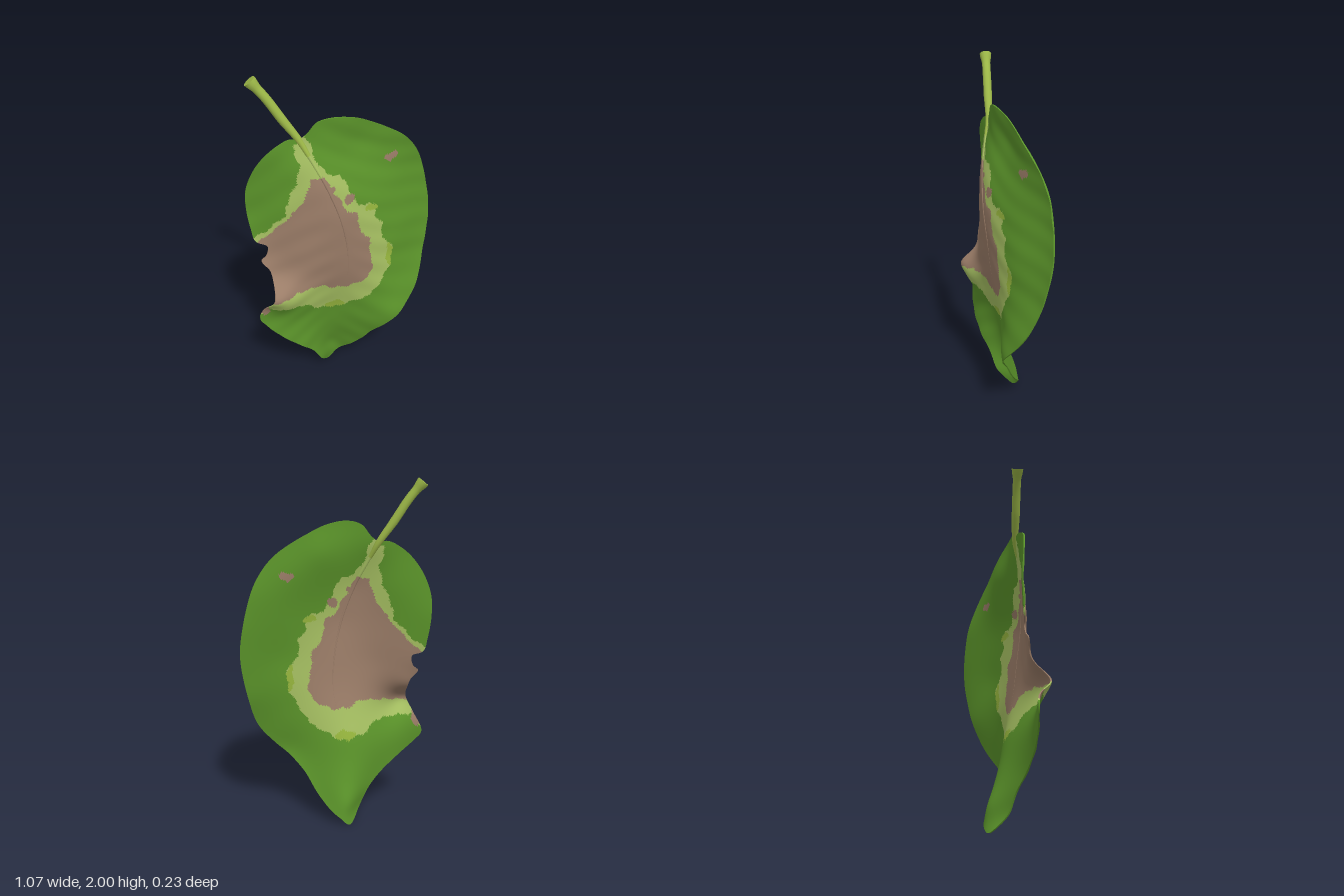
import * as THREE from 'three';

const mat = (name, color) => Object.assign(new THREE.MeshStandardMaterial({ color, side: THREE.DoubleSide }), { name });
const GREEN = 0, PALE = 1, BROWN = 2, LIME = 3;

// Midrib as [x, y, z], tip to leaf base
const RIB = [[-.08, 0, -.1], [-.09, .12, -.085], [-.09, .3, -.05], [-.06, .5, -.012], [-.02, .66, .03], [0, .8, .06],
  [-.01, 1, .08], [-.05, 1.2, .09], [-.12, 1.4, .07], [-.18, 1.53, .033], [-.24, 1.65, -.005]];

// Heights that bend the blade: right side, then left side
const BEND_A = [[.06, .13, -.058], [.17, .29, .035], [.27, .41, .095], [.36, .5, .075], [.44, .63, .025], [.49, .8, -.035],
  [.53, 1.02, -.075], [.52, 1.2, -.09], [.46, 1.4, -.08], [.38, 1.53, -.048], [.25, 1.65, -.015], [.05, 1.75, .01],
  [-.07, 1.77, .02], [-.18, 1.73, .005], [.25, .7, .06], [.3, 1, .03], [.25, 1.3, .008], [.08, 1.6, -.006], [.22, 1.5, -.015],
  [.1, .45, .03]];
const BEND_B = [[-.14, .08, -.03], [-.26, .26, .025], [-.4, .38, .04], [-.52, .53, .01], [-.48, .64, .05], [-.44, .72, .105],
  [-.43, .8, .03], [-.45, .88, -.01], [-.45, .95, -.025], [-.5, 1.04, -.05], [-.535, 1.25, -.07], [-.48, 1.5, -.04],
  [-.38, 1.61, -.015], [-.25, .5, .02], [-.25, .72, .06], [-.25, .95, .05], [-.3, 1.2, .025], [-.33, 1.4, 0]];

// Outline, counter-clockwise from the tip
const EDGE = [[-.08, 0], [-.02, .05], [.04, .1], [.105, .18], [.17, .29], [.24, .37], [.34, .47], [.44, .61], [.49, .78],
  [.53, 1.03], [.52, 1.17], [.46, 1.41], [.4, 1.52], [.33, 1.595], [.25, 1.65], [.16, 1.7], [.05, 1.75], [-.07, 1.77],
  [-.15, 1.75], [-.2, 1.69], [-.24, 1.66], [-.3, 1.66], [-.4, 1.6], [-.48, 1.5], [-.53, 1.37], [-.535, 1.25], [-.52, 1.12],
  [-.5, 1.04], [-.44, 1.01], [-.45, .95], [-.48, .92], [-.44, .86], [-.43, .8], [-.44, .72], [-.47, .65], [-.52, .53],
  [-.48, .47], [-.4, .385], [-.26, .25], [-.2, .18], [-.14, .07]];

// Withered patch and its pale halo
const DEAD = [[-.2, 1.45], [-.13, 1.45], [-.08, 1.36], [-.01, 1.24], [.05, 1.2], [.06, 1.1], [.12, 1.03], [.13, .9], [.15, .82],
  [.12, .73], [0, .68], [-.1, .69], [-.15, .73], [-.3, .72], [-.41, .7], [-.6, .72], [-.6, 1.02], [-.49, 1.03], [-.42, 1.1],
  [-.35, 1.17], [-.27, 1.27], [-.22, 1.36]];
const HALO = [[-.22, 1.68], [-.28, 1.63], [-.25, 1.52], [-.28, 1.4], [-.32, 1.31], [-.34, 1.22], [-.42, 1.13], [-.5, 1.07],
  [-.6, 1.03], [-.6, .56], [-.49, .57], [-.46, .63], [-.41, .62], [-.25, .6], [-.17, .53], [-.04, .5], [.04, .54],
  [.13, .59], [.2, .69], [.26, .81], [.27, .94], [.2, 1], [.2, 1.1], [.16, 1.16], [.155, 1.24],
  [.06, 1.26], [.015, 1.31], [0, 1.39], [-.05, 1.45], [-.11, 1.475], [-.16, 1.52], [-.19, 1.64]];
// Small spots: x, y, radius x, radius y, colour
const SPOTS = [[.27, 1.48, .042, .024, BROWN], [0, 1.31, .03, .03, BROWN], [-.09, 1.385, .018, .018, BROWN],
  [-.49, .61, .025, .05, BROWN], [.25, .88, .018, .08, LIME], [-.06, .53, .06, .028, LIME], [.13, 1.22, .04, .02, LIME]];

function inside(poly, x, y) {
  let hit = false;
  poly.forEach(([ax, ay], i) => {
    const [bx, by] = poly[(i + 1) % poly.length];
    if ((ay > y) !== (by > y) && x < ax + (bx - ax) * (y - ay) / (by - ay)) hit = !hit;
  });
  return hit;
}

// Colour at a point, with slightly ragged borders
function colourAt(px, py) {
  const x = px + .005 * Math.sin(py * 61) + .002 * Math.sin(py * 163 + 1);
  const y = py + .005 * Math.sin(px * 73 + 2) + .002 * Math.sin(px * 151);
  for (const [cx, cy, rx, ry, c] of SPOTS) if (((x - cx) / rx) ** 2 + ((y - cy) / ry) ** 2 < 1) return c;
  return inside(DEAD, x, y) ? BROWN : inside(HALO, x, y) ? PALE : GREEN;
}

// Smooth surface through all bend points (multiquadric fit)
function fitSurface(points) {
  const phi = (ax, ay, bx, by) => Math.sqrt((ax - bx) ** 2 + (ay - by) ** 2 + .008);
  const n = points.length;
  const m = points.map(p => [...points.map(q => phi(p[0], p[1], q[0], q[1])), p[2]]);
  for (let c = 0; c < n; c++) {
    let best = c;
    for (let r = c; r < n; r++) if (Math.abs(m[r][c]) > Math.abs(m[best][c])) best = r;
    [m[c], m[best]] = [m[best], m[c]];
    for (let r = 0; r < n; r++) {
      if (r === c) continue;
      const f = m[r][c] / m[c][c];
      for (let k = c; k <= n; k++) m[r][k] -= f * m[c][k];
    }
  }
  const w = m.map((row, i) => row[n] / row[i]);
  return (x, y) => points.reduce((s, p, i) => s + w[i] * phi(x, y, p[0], p[1]), 0);
}

function ribX(y) {
  let i = 0;
  while (i < RIB.length - 2 && RIB[i + 1][1] < y) i++;
  const t = THREE.MathUtils.clamp((y - RIB[i][1]) / (RIB[i + 1][1] - RIB[i][1]), 0, 1);
  return THREE.MathUtils.lerp(RIB[i][0], RIB[i + 1][0], t);
}

function geometry(pos, index) {
  const g = new THREE.BufferGeometry();
  g.setAttribute('position', new THREE.Float32BufferAttribute(pos, 3));
  g.setIndex(index);
  g.computeVertexNormals();
  return g;
}

// Mesh whose triangles are grouped by colour
function paintedMesh(name, { pos, tris }, mats) {
  const buckets = mats.map(() => []);
  for (const t of tris) {
    const mid = k => (pos[t[0] * 3 + k] + pos[t[1] * 3 + k] + pos[t[2] * 3 + k]) / 3;
    buckets[colourAt(mid(0), mid(1))].push(...t);
  }
  const g = geometry(pos, buckets.flat());
  let start = 0;
  buckets.forEach((b, i) => { g.addGroup(start, b.length, i); start += b.length; });
  const mesh = new THREE.Mesh(g, mats);
  mesh.name = name;
  return mesh;
}

// One face of the blade: rings growing from the centre to the outline
function sheet(outline, height, flip) {
  const n = outline.length, rings = 60, cx = -.05, cy = .95;
  const pos = [cx, cy, height(cx, cy)], tris = [];
  for (let r = 1; r <= rings; r++) {
    outline.forEach((p, j) => {
      const x = cx + (p.x - cx) * r / rings, y = cy + (p.y - cy) * r / rings;
      pos.push(x, y, height(x, y));
      const a = 1 + (r - 1) * n + j, b = 1 + (r - 1) * n + (j + 1) % n;
      if (r === 1) tris.push([0, a, b]);
      else tris.push([a - n, a, b], [a - n, b, b - n]);
    });
  }
  if (flip) tris.forEach(t => t.reverse());
  return { pos, tris };
}

// Narrow wall joining the two faces along the outline
function wall(outline, front, back) {
  const pos = [], tris = [], n = outline.length;
  outline.forEach(({ x, y }, j) => {
    pos.push(x, y, front(x, y), x, y, back(x, y));
    const a = j * 2, b = (j + 1) % n * 2;
    tris.push([a, a + 1, b + 1], [a, b + 1, b]);
  });
  return { pos, tris };
}

// Tapered round sweep along a curve
function sweep(points, radius, steps, sides) {
  const curve = new THREE.CatmullRomCurve3(points.map(p => new THREE.Vector3(...p)));
  const pos = [], tris = [];
  for (let i = 0; i <= steps; i++) {
    const p = curve.getPoint(i / steps), tan = curve.getTangent(i / steps);
    const u = new THREE.Vector3(0, 0, 1).cross(tan).normalize(), v = tan.clone().cross(u);
    for (let j = 0; j < sides; j++) {
      const a = j / sides * Math.PI * 2, r = radius(i / steps);
      const q = p.clone().addScaledVector(u, Math.cos(a) * r).addScaledVector(v, Math.sin(a) * r);
      pos.push(q.x, q.y, q.z);
      if (i < steps) {
        const k = i * sides + j, l = i * sides + (j + 1) % sides;
        tris.push([k, l, l + sides], [k, l + sides, k + sides]);
      }
    }
  }
  return { pos, tris };
}

export function createModel() {
  const model = new THREE.Group();
  model.name = 'leaf';
  const mats = [mat('leafGreen', 0x5b942a), mat('paleHalo', 0xa6c062), mat('witheredBrown', 0x9b7d68), mat('limePatch', 0x97b63e)];
  const stemMat = mat('stemGreen', 0x9db848);

  // Blade: veined front, smooth back, thin rim
  const bend = fitSurface([...RIB, ...BEND_A, ...BEND_B]);
  const front = (x, y) => {
    const d = Math.abs(x - ribX(y));
    return bend(x, y) + .004 + .0015 * Math.min(1, d / .15) * Math.sin((y + .45 * d) * 42 + Math.sin(x * 9));
  };
  const back = (x, y) => bend(x, y) - .004;
  const outline = new THREE.CatmullRomCurve3(EDGE.map(([x, y]) => new THREE.Vector3(x, y, 0)), true, 'centripetal')
    .getSpacedPoints(420).slice(0, 420);
  model.add(paintedMesh('bladeFront', sheet(outline, front, false), mats));
  model.add(paintedMesh('bladeBack', sheet(outline, back, true), mats));
  model.add(paintedMesh('bladeRim', wall(outline, front, back), mats));

  // Midrib, thickening toward the stem
  const ribPath = RIB.slice(4).map(([x, y]) => [x, y, bend(x, y)]);
  model.add(paintedMesh('midrib', sweep(ribPath, t => .003 + .009 * t, 80, 10), mats));

  // Stem with a flared cut end
  const s = sweep([[-.2, 1.57, .02], [-.24, 1.65, -.008], [-.32, 1.77, -.032], [-.395, 1.89, -.052], [-.465, 1.98, -.07]],
    t => .012 + .012 * Math.min(1, t * 2) + .01 * THREE.MathUtils.smoothstep(t, .86, 1), 32, 12);
  const stem = new THREE.Mesh(geometry(s.pos, s.tris.flat()), stemMat);
  stem.name = 'stem';
  const cap = new THREE.Mesh(new THREE.CircleGeometry(.034, 12), stemMat);
  cap.name = 'stemEnd';
  cap.position.set(-.465, 1.98, -.07);
  cap.quaternion.setFromUnitVectors(new THREE.Vector3(0, 0, 1), new THREE.Vector3(-.07, .09, -.018).normalize());
  model.add(stem, cap);
  return model;
}
